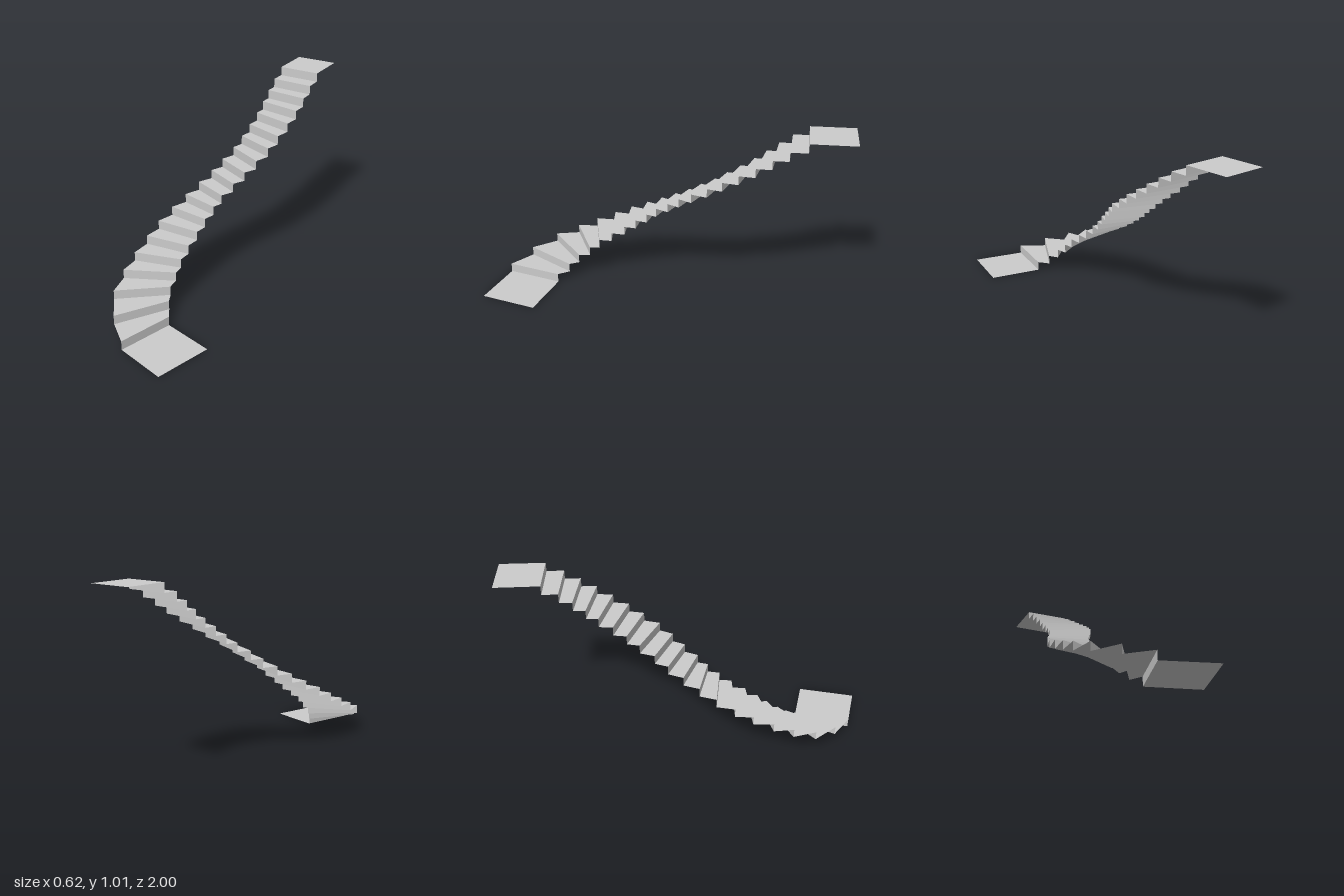
import * as THREE from 'three';

const RISE = 0.0504;

// Riser lines seen from above, bottom to top: outer x, z, then inner x, z
const LINES = [
  [-0.05, 0.917, 0.025, 0.616],
  [-0.173, 0.817, -0.015, 0.555],
  [-0.27, 0.69, -0.042, 0.502],
  [-0.304, 0.56, -0.05, 0.437],
  [-0.312, 0.447, -0.056, 0.38],
  [-0.312, 0.334, -0.055, 0.309],
  [-0.303, 0.234, -0.049, 0.232],
  [-0.28, 0.135, -0.042, 0.165],
  [-0.248, 0.045, -0.028, 0.1],
  [-0.215, -0.04, -0.01, 0.045],
  [-0.18, -0.12, 0.022, -0.025],
  [-0.152, -0.19, 0.054, -0.09],
  [-0.125, -0.268, 0.088, -0.16],
  [-0.11, -0.335, 0.113, -0.245],
  [-0.099, -0.405, 0.131, -0.325],
  [-0.093, -0.478, 0.145, -0.41],
  [-0.089, -0.541, 0.153, -0.495],
  [-0.089, -0.605, 0.154, -0.578],
  [-0.089, -0.673, 0.152, -0.662],
  [-0.089, -0.758, 0.149, -0.755],
];
const BOTTOM_END = [0.232, 0.998, 0.308, 0.69];
const TOP_END = [-0.096, -1, 0.144, -1];

export function createModel() {
  const group = new THREE.Group();
  group.name = 'staircase';
  const material = new THREE.MeshStandardMaterial({
    color: 0xcccccc, flatShading: true, side: THREE.DoubleSide,
  });

  // Flat panel between line a at height ya and line b at height yb
  const panel = (name, a, ya, b, yb) => {
    const geometry = new THREE.BufferGeometry();
    geometry.setAttribute('position', new THREE.Float32BufferAttribute([
      a[0], ya, a[1], a[2], ya, a[3],
      b[2], yb, b[3], b[0], yb, b[1],
    ], 3));
    geometry.setIndex([0, 1, 2, 0, 2, 3]);
    geometry.computeVertexNormals();
    const mesh = new THREE.Mesh(geometry, material);
    mesh.name = name;
    group.add(mesh);
  };

  // Landings at both ends
  const last = LINES.length - 1;
  panel('bottomLanding', BOTTOM_END, 0, LINES[0], 0);
  panel('topLanding', LINES[last], RISE * LINES.length, TOP_END, RISE * LINES.length);

  // Winding flight: a riser on every line, a tread to the next line
  LINES.forEach((line, i) => {
    const top = RISE * (i + 1);
    panel(`riser${i + 1}`, line, RISE * i, line, top);
    if (i < last) panel(`tread${i + 1}`, line, top, LINES[i + 1], top);
  });

  return group;
}
